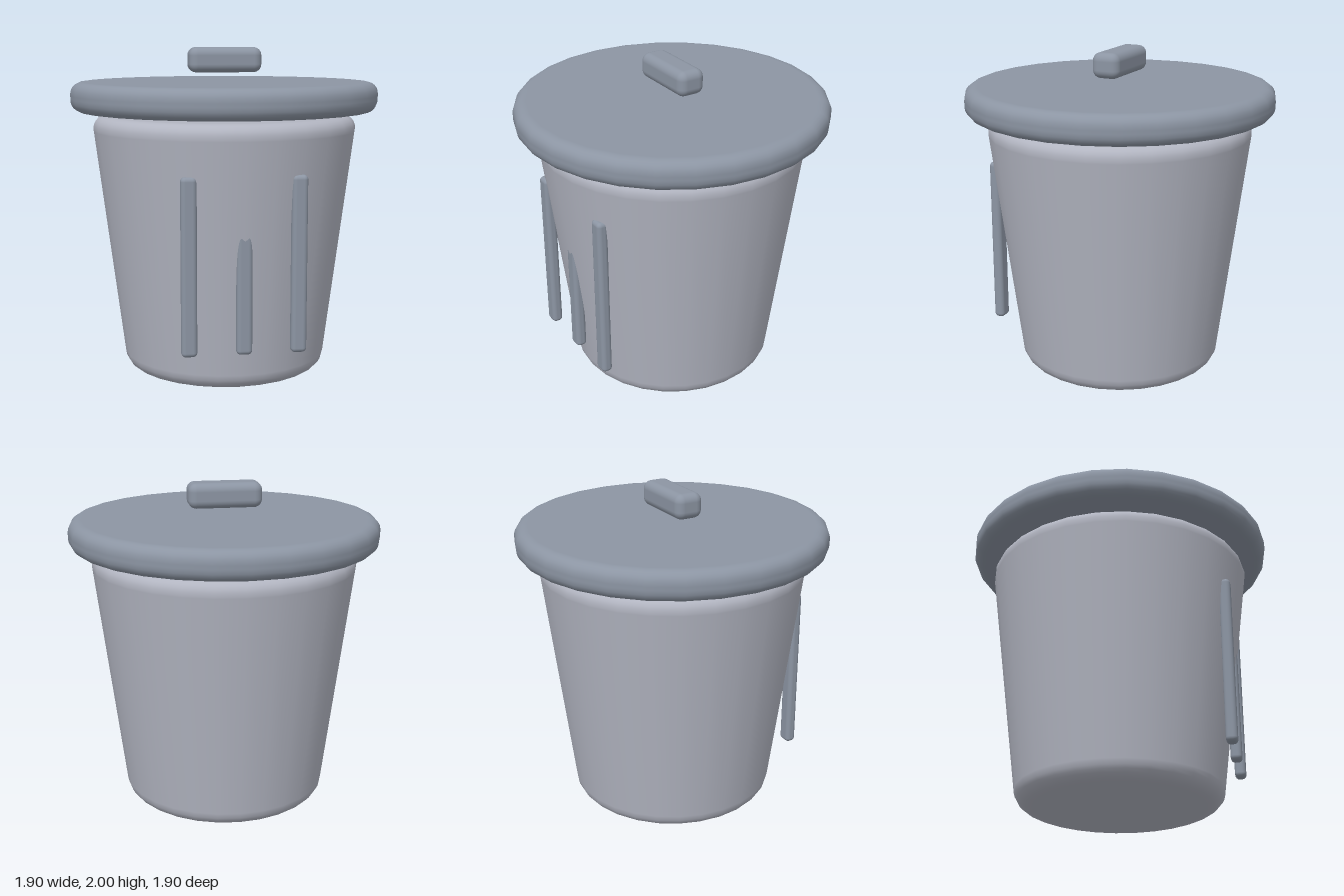
import * as THREE from 'three';
import { RoundedBoxGeometry } from 'three/addons/geometries/RoundedBoxGeometry.js';

const SIDES = 28;

// Closed round solid with softly rounded rims; support points keep the caps and wall flat
function roundedDrum(y0, r0, y1, r1, bevel) {
  const slope = (r1 - r0) / (y1 - y0);
  const wall = (y) => r0 + slope * (y - y0);
  const pts = [new THREE.Vector2(0, y0), new THREE.Vector2(r0 - bevel - 0.01, y0)];
  const arc = (y, dir) => {
    const cap = new THREE.Vector2(wall(y) - bevel, y);
    const side = new THREE.Vector2(wall(y + dir * bevel), y + dir * bevel);
    const k = 0.55;
    const corner = new THREE.Vector2(wall(y), y);
    return new THREE.CubicBezierCurve(
      cap, cap.clone().lerp(corner, k), side.clone().lerp(corner, k), side).getPoints(6);
  };
  pts.push(...arc(y0, 1));
  pts.push(new THREE.Vector2(wall(y0 + bevel + 0.01), y0 + bevel + 0.01));
  pts.push(new THREE.Vector2(wall(y1 - bevel - 0.01), y1 - bevel - 0.01));
  pts.push(...arc(y1, -1).reverse());
  pts.push(new THREE.Vector2(r1 - bevel - 0.01, y1), new THREE.Vector2(0, y1));
  return new THREE.LatheGeometry(pts, SIDES);
}

export function createModel() {
  const bin = new THREE.Group();
  bin.name = 'trashCan';

  const lightGrey = new THREE.MeshStandardMaterial({ color: 0xb2b5c1 });
  lightGrey.name = 'light grey';
  const darkGrey = new THREE.MeshStandardMaterial({ color: 0x8c95a3 });
  darkGrey.name = 'blue grey';

  const add = (name, geometry, material, x = 0, y = 0, z = 0) => {
    const mesh = new THREE.Mesh(geometry, material);
    mesh.name = name;
    mesh.position.set(x, y, z);
    bin.add(mesh);
  };

  // Tapered body and overhanging lid
  add('body', roundedDrum(0, 0.62, 1.585, 0.822, 0.085), lightGrey);
  add('lid', roundedDrum(1.61, 0.948, 1.79, 0.948, 0.07), darkGrey);

  // Floating grip above the lid
  add('handle', new RoundedBoxGeometry(0.45, 0.154, 0.176, 4, 0.05), darkGrey, 0, 1.923, 0);

  // Three upright ribs on the front; the middle one sinks into the slanted wall
  [['rightRib', -0.32], ['middleRib', 0], ['leftRib', 0.32]].forEach(([name, x]) => {
    add(name, new RoundedBoxGeometry(0.092, 1.04, 0.068, 4, 0.026), darkGrey, x, 0.77, 0.703);
  });

  return bin;
}
